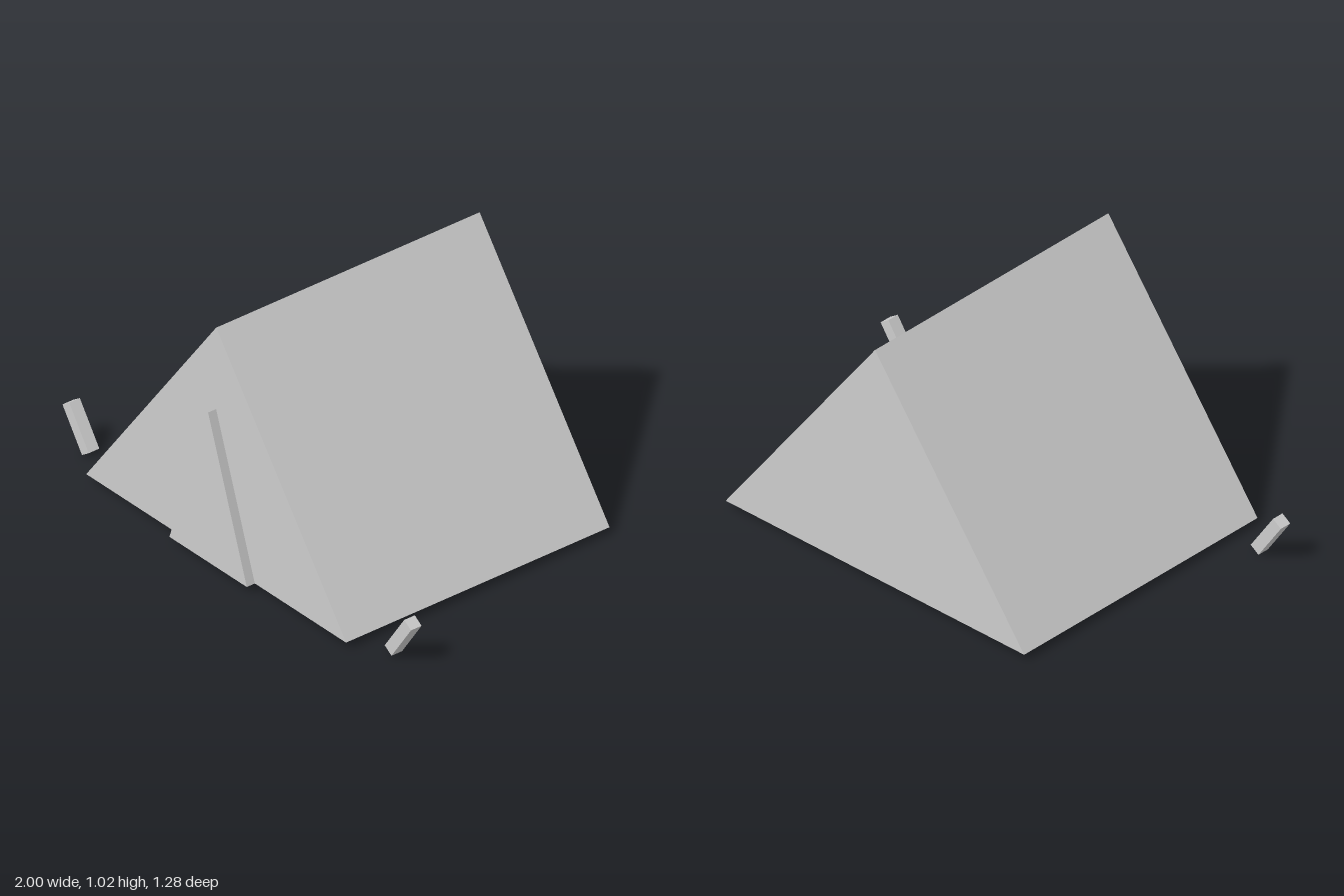
import * as THREE from 'three';

const canvas = new THREE.MeshStandardMaterial({ color: 0xcccccc });
canvas.name = 'lightGrey';

// Triangular prism standing on y = base, running from z0 to z1
function prism(name, halfWidth, base, top, z0, z1) {
  const shape = new THREE.Shape();
  shape.moveTo(-halfWidth, base);
  shape.lineTo(halfWidth, base);
  shape.lineTo(0, top);
  shape.closePath();
  const geometry = new THREE.ExtrudeGeometry(shape, { depth: z1 - z0, bevelEnabled: false });
  geometry.translate(0, 0, z0);
  const mesh = new THREE.Mesh(geometry, canvas);
  mesh.name = name;
  return mesh;
}

export function createModel() {
  const tent = new THREE.Group();
  tent.name = 'tent';

  // Closed tent body and the raised door flap on its front
  tent.add(prism('tentBody', 0.745, 0.027, 1.02, -0.64, 0.602));
  tent.add(prism('doorFlap', 0.222, 0.027, 0.67, 0.602, 0.64));

  // Pegs leaning outwards beside the front corners
  for (const side of [-1, 1]) {
    const peg = new THREE.Mesh(new THREE.BoxGeometry(0.047, 0.198, 0.05), canvas);
    peg.name = side > 0 ? 'leftPeg' : 'rightPeg';
    peg.position.set(side * 0.924, 0.096, 0.48);
    peg.rotation.z = -side * 0.6;
    tent.add(peg);
  }
  return tent;
}
